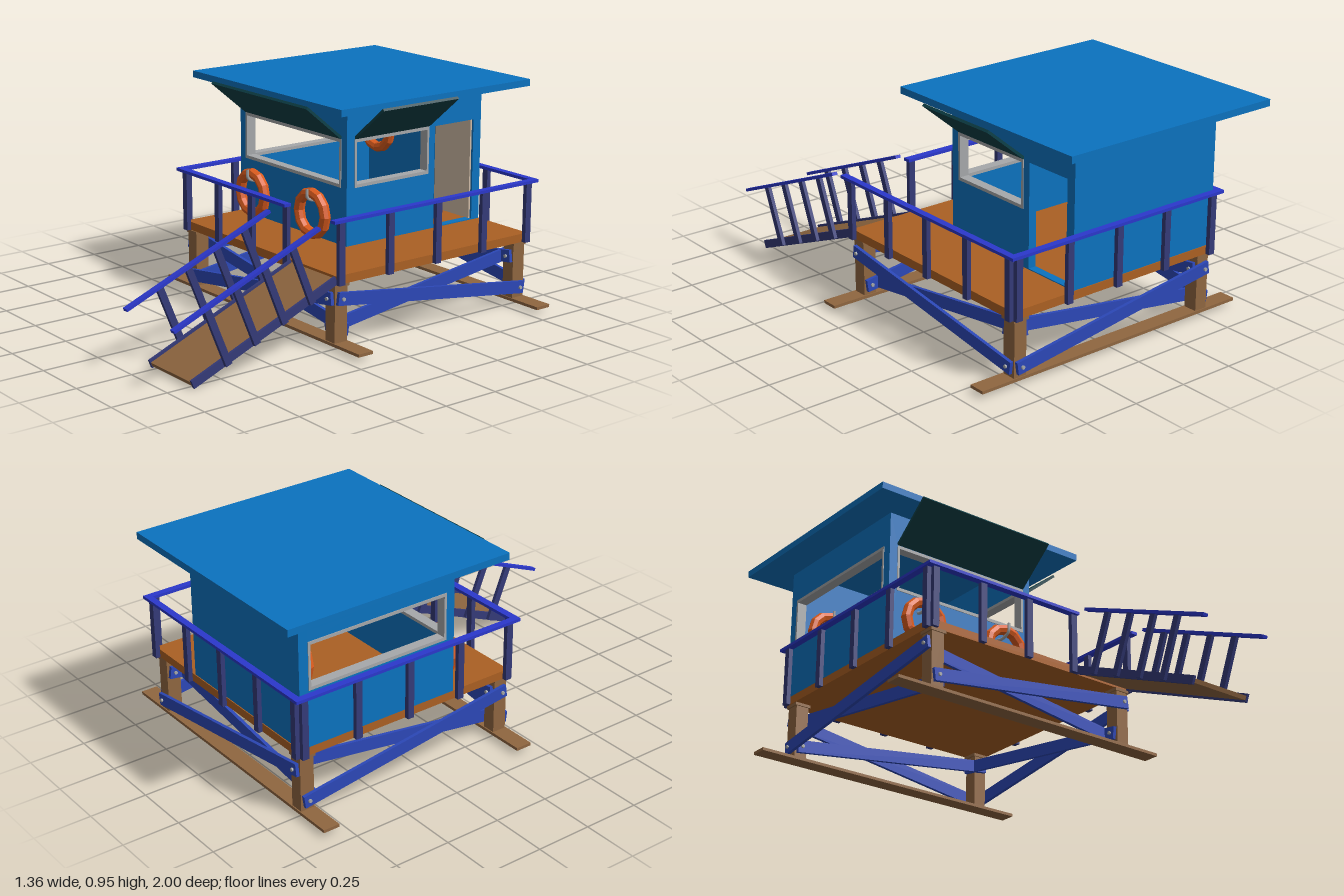
import * as THREE from 'three';

const mat = (name, color, extra = {}) => {
  const m = new THREE.MeshStandardMaterial({ color, ...extra });
  m.name = name;
  return m;
};

export function createModel() {
  const M = {
    cabin: mat('cabinBlue', 0x0b72bf),
    deck: mat('deckOrange', 0xab6023),
    wood: mat('timberBrown', 0x8f6640),
    shutter: mat('darkTeal', 0x0d4048),
    ring: mat('ringOrange', 0xdc5c1e, { flatShading: true }),
    rail: mat('railBlue', 0x2b38cc),
    post: mat('postNavy', 0x343a78),
    brace: mat('braceBlue', 0x2c48b8),
    door: mat('doorBeige', 0xd2bda8),
    metal: mat('metalGrey', 0xa6a8aa),
  };
  const root = new THREE.Group();
  root.name = 'beachWatchHut';

  const add = (name, geo, m, parent = root) => {
    const mesh = new THREE.Mesh(geo, m);
    mesh.name = name;
    parent.add(mesh);
    return mesh;
  };
  // Box given by its limits on each axis
  const box = (name, m, x0, x1, y0, y1, z0, z1, parent = root) => {
    const b = add(name, new THREE.BoxGeometry(x1 - x0, y1 - y0, z1 - z0), m, parent);
    b.position.set((x0 + x1) / 2, (y0 + y1) / 2, (z0 + z1) / 2);
    return b;
  };
  // Rectangular path
  const rect = (Type, [a, b, c, d]) => {
    const s = new Type();
    s.moveTo(a, c);
    s.lineTo(b, c);
    s.lineTo(b, d);
    s.lineTo(a, d);
    s.closePath();
    return s;
  };
  // Flat panel with rectangular holes; turned panels span z instead of x
  const panel = (name, m, outer, holes, depth, at, turned) => {
    const s = rect(THREE.Shape, outer);
    holes.forEach((h) => s.holes.push(rect(THREE.Path, h)));
    const p = add(name, new THREE.ExtrudeGeometry(s, { depth, bevelEnabled: false }), m);
    if (turned) {
      p.rotation.y = -Math.PI / 2;
      p.position.x = at + depth;
    } else p.position.z = at;
    return p;
  };

  // Deck, skids and legs
  box('deck', M.deck, -0.53, 0.53, 0.283, 0.32, -0.857, 0.2);
  for (const z of [0.168, -0.82]) {
    box('skid', M.wood, -0.68, 0.68, 0.02, 0.033, z - 0.037, z + 0.037);
    for (const x of [-0.49, 0.49]) {
      box('leg', M.wood, x - 0.03, x + 0.03, 0.033, 0.283, z - 0.032, z + 0.032);
      box('legCap', M.wood, x - 0.037, x + 0.037, 0.27, 0.283, z - 0.037, z + 0.037);
    }
  }

  // Crossed braces, one outside and one inside the legs, with bolts at the ends
  const crossBrace = (half, legHalf, x, z, angle, flip) => {
    const g = new THREE.Group();
    g.name = 'crossBrace';
    g.position.set(x, 0.15, z);
    g.rotation.y = angle;
    root.add(g);
    const tilt = Math.atan2(0.14, half * 2) * flip;
    for (const side of [1, -1]) {
      const off = side * (legHalf + 0.0075);
      const b = add('brace', new THREE.BoxGeometry(half * 2 + 0.055, 0.055, 0.015), M.brace, g);
      b.position.z = off;
      b.rotation.z = tilt * side;
      for (const e of [-1, 1]) {
        const bolt = add('bolt', new THREE.CylinderGeometry(0.008, 0.008, 0.03, 8), M.metal, g);
        bolt.rotation.x = Math.PI / 2;
        bolt.position.set(e * half, e * side * flip * 0.07, off);
      }
    }
  };
  crossBrace(0.49, 0.032, 0, 0.168, 0, 1);
  crossBrace(0.49, 0.032, 0, -0.82, Math.PI, 1);
  crossBrace(0.494, 0.03, 0.49, -0.326, Math.PI / 2, -1);
  crossBrace(0.494, 0.03, -0.49, -0.326, -Math.PI / 2, 1);

  // Railing: posts fixed to the deck edge under a flat handrail
  const yTop = 0.547;
  box('frontHandrail', M.rail, -0.53, 0.23, yTop, 0.56, 0.2, 0.233);
  box('backHandrail', M.rail, -0.53, 0.53, yTop, 0.56, -0.887, -0.857);
  for (const s of [-1, 1]) {
    box('sideHandrail', M.rail, s * 0.545 - 0.015, s * 0.545 + 0.015, yTop, 0.56, -0.887, 0.233);
  }
  for (let i = 0; i < 5; i++) {
    const x = -0.515 + i * 0.2575;
    const z = -0.842 + i * 0.257;
    box('backPost', M.post, x - 0.015, x + 0.015, 0.283, yTop, -0.877, -0.857);
    for (const s of [-1, 1]) {
      box('sidePost', M.post, s * 0.54 - 0.01, s * 0.54 + 0.01, 0.283, yTop, z - 0.015, z + 0.015);
    }
    if (i < 4) {
      const fx = -0.515 + i * 0.2425;
      box('frontPost', M.post, fx - 0.015, fx + 0.015, 0.283, yTop, 0.2, 0.22);
    }
  }

  // Ramp with stringers, slanted posts and handrails; local z runs down the slope
  const ramp = new THREE.Group();
  ramp.name = 'ramp';
  ramp.position.set(0.3775, 0.305, 0.2);
  ramp.rotation.x = Math.atan2(0.285, 0.7);
  root.add(ramp);
  box('rampBoard', M.wood, -0.142, 0.142, -0.012, 0.006, 0, 0.755, ramp);
  for (const s of [-1, 1]) {
    box('rampStringer', M.post, s * 0.146 - 0.006, s * 0.146 + 0.006, -0.02, 0.016, 0, 0.757, ramp);
    box('rampHandrail', M.rail, s * 0.165 - 0.013, s * 0.165 + 0.013, 0.25, 0.263, 0.005, 0.758, ramp);
    for (let i = 0; i < 4; i++) {
      const z = 0.145 + i * 0.148;
      box('rampPost', M.post, s * 0.16 - 0.008, s * 0.16 + 0.008, -0.016, 0.25, z - 0.015, z + 0.015, ramp);
    }
  }

  // Cabin walls, door and flat roof
  const frontHole = [-0.49, 0.188, 0.57, 0.78];
  const sideHole = [-0.55, -0.138, 0.57, 0.78];
  const leftHole = [-0.81, -0.138, 0.57, 0.78];
  const doorHole = [-0.81, -0.585, 0.324, 0.775];
  panel('frontWall', M.cabin, [-0.53, 0.225, 0.32, 0.925], [frontHole], 0.038, -0.135);
  panel('backWall', M.cabin, [-0.53, 0.225, 0.32, 0.925], [], 0.038, -0.853);
  panel('rightWall', M.cabin, [-0.815, -0.135, 0.32, 0.925], [sideHole, doorHole], 0.037, 0.188, true);
  panel('leftWall', M.cabin, [-0.815, -0.135, 0.32, 0.925], [leftHole], 0.037, -0.53, true);
  box('openDoor', M.door, -0.015, 0.215, 0.325, 0.772, -0.812, -0.802);
  box('roof', M.cabin, -0.68, 0.375, 0.925, 0.955, -1, 0.055);

  // Window frames lining the openings
  const frame = (hole, at, turned) => {
    const [a, b, c, d] = hole;
    panel('windowFrame', M.metal, hole, [[a + 0.011, b - 0.011, c + 0.014, d - 0.014]], 0.044, at, turned);
  };
  frame(frontHole, -0.138);
  frame(sideHole, 0.184, true);
  frame(leftHole, -0.533, true);

  // Raised shutters leaning outward from the wall
  const shutter = (width, x, z, angle) => {
    const g = new THREE.Group();
    g.name = 'shutter';
    g.position.set(x, 0.785, z);
    g.rotation.y = angle;
    root.add(g);
    const b = add('shutterPanel', new THREE.BoxGeometry(width, 0.012, 0.236), M.shutter, g);
    b.position.set(0, 0.075, 0.091);
    b.rotation.x = -Math.atan2(0.15, 0.182);
  };
  shutter(0.678, -0.152, -0.097, 0);
  shutter(0.412, 0.225, -0.345, Math.PI / 2);

  // Life rings hung on curved hooks
  const hookCurve = new THREE.CatmullRomCurve3([
    [0, 0.06, -0.047], [0, 0.055, -0.03], [0, 0.058, 0], [0, 0.072, 0.025], [0, 0.112, 0.028],
  ].map((p) => new THREE.Vector3(...p)));
  for (const [x, y, z] of [[-0.378, 0.437, -0.05], [0.05, 0.437, -0.05], [-0.378, 0.635, -0.768]]) {
    const g = new THREE.Group();
    g.name = 'lifeRing';
    g.position.set(x, y, z);
    root.add(g);
    add('ring', new THREE.TorusGeometry(0.09, 0.024, 8, 12), M.ring, g);
    add('hook', new THREE.TubeGeometry(hookCurve, 12, 0.007, 6), M.metal, g);
  }
  return root;
}
